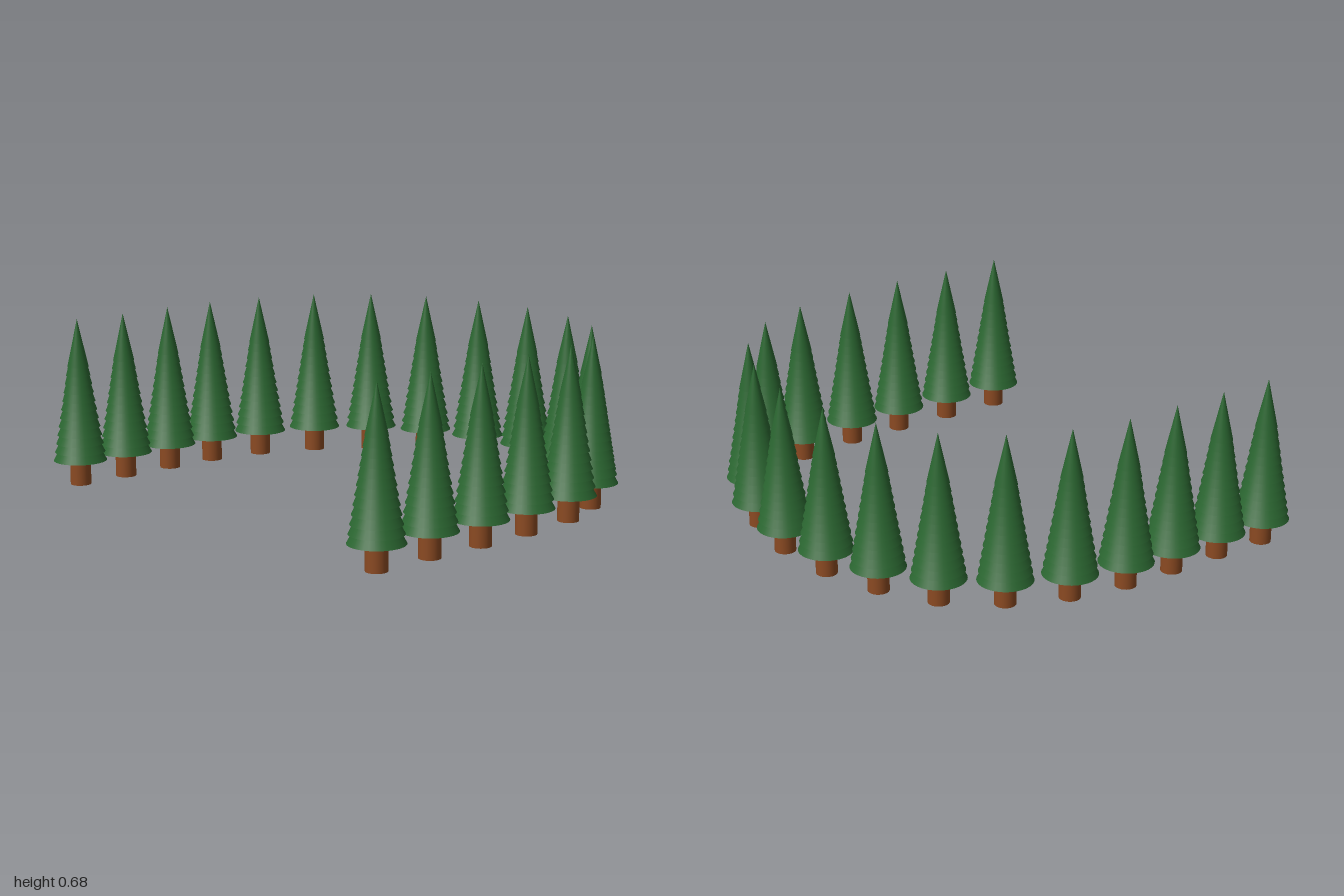
import * as THREE from 'three';

// Tree positions [x, z] along the horseshoe, left arm to right arm
const SPOTS = [
  [-0.89, 0.785], [-0.89, 0.56], [-0.895, 0.33], [-0.895, 0.107], [-0.855, -0.126],
  [-0.762, -0.355], [-0.61, -0.55], [-0.402, -0.682], [-0.165, -0.765], [0.096, -0.795],
  [0.362, -0.757], [0.588, -0.655], [0.76, -0.478], [0.847, -0.262], [0.88, 0],
  [0.89, 0.248], [0.888, 0.5], [0.89, 0.757],
];
const TIERS = 12, BASE = 0.1, TOP = 0.68, SPACING = 0.035;

export function createModel() {
  const model = new THREE.Group();
  model.name = 'treeRow';
  const bark = new THREE.MeshStandardMaterial({ color: 0x8b4a22 });
  const needles = new THREE.MeshStandardMaterial({ color: 0x2a6530 });

  const trunkGeo = new THREE.CylinderGeometry(0.042, 0.042, BASE + 0.02, 24);
  trunkGeo.translate(0, (BASE + 0.02) / 2, 0);

  // Overlapping cones of equal height, narrowing toward the tip
  const height = TOP - BASE - (TIERS - 1) * SPACING;
  const tierGeos = Array.from({ length: TIERS }, (_, i) => {
    const radius = THREE.MathUtils.lerp(0.108, 0.043, i / (TIERS - 1));
    const cone = new THREE.ConeGeometry(radius, height, 32);
    cone.translate(0, BASE + i * SPACING + height / 2, 0);
    return cone;
  });

  SPOTS.forEach(([x, z]) => {
    const tree = new THREE.Group();
    tree.name = 'tree';
    const trunk = new THREE.Mesh(trunkGeo, bark);
    trunk.name = 'trunk';
    tree.add(trunk);
    tierGeos.forEach((geo) => {
      const tier = new THREE.Mesh(geo, needles);
      tier.name = 'foliageTier';
      tree.add(tier);
    });
    tree.position.set(x, 0, z);
    model.add(tree);
  });
  return model;
}
